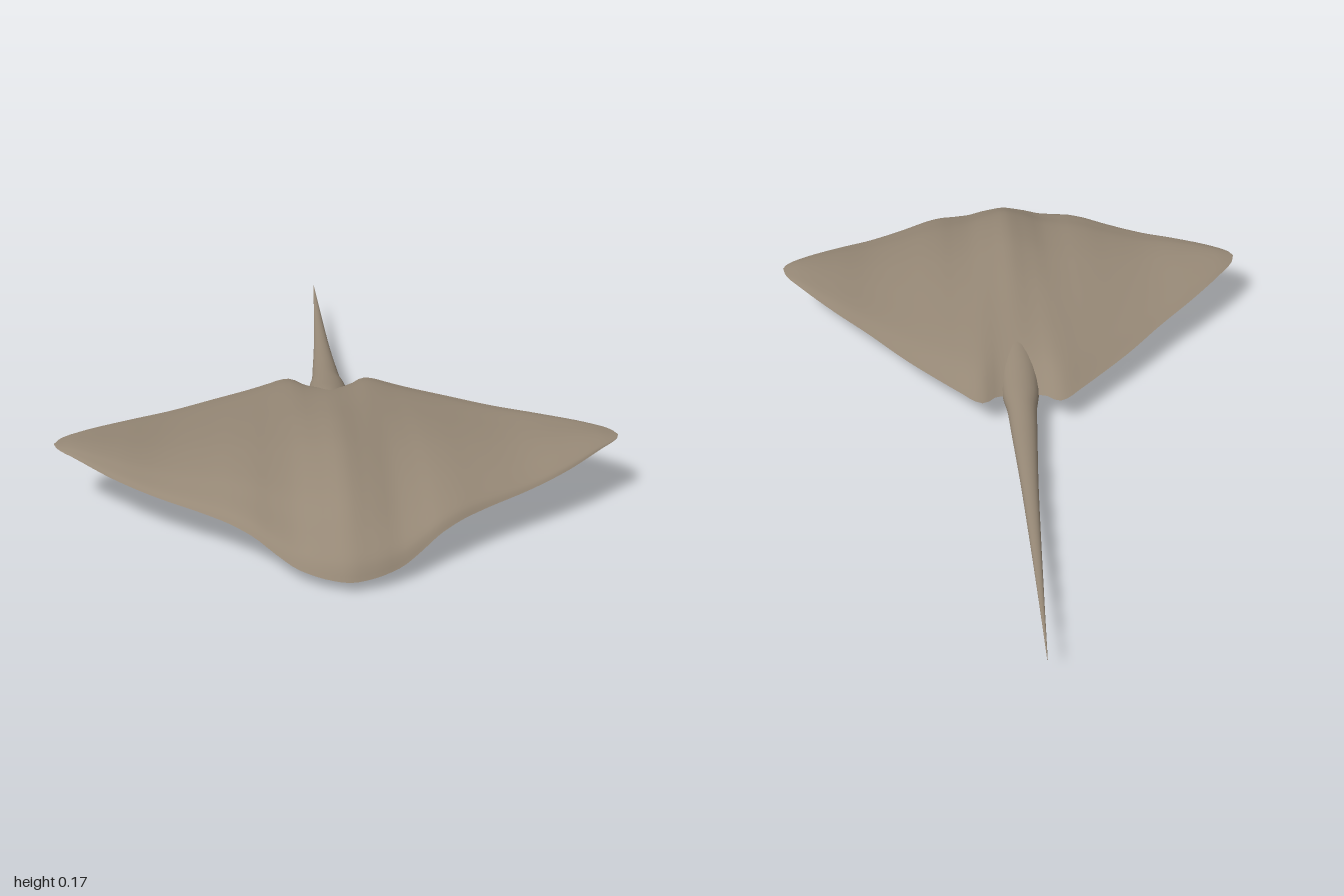
import * as THREE from 'three';
import { mergeVertices } from 'three/addons/utils/BufferGeometryUtils.js';

// Smooth monotone curve through [position, value] pairs
function curve(points) {
  const secant = i => (points[i + 1][1] - points[i][1]) / (points[i + 1][0] - points[i][0]);
  const last = points.length - 1;
  const slope = points.map((_, i) => {
    if (i === 0) return secant(0);
    if (i === last) return secant(last - 1);
    const a = secant(i - 1), b = secant(i);
    return a * b <= 0 ? 0 : (2 * a * b) / (a + b);
  });
  return p => {
    let i = 0;
    while (i < last - 1 && p > points[i + 1][0]) i++;
    const h = points[i + 1][0] - points[i][0];
    const s = THREE.MathUtils.clamp((p - points[i][0]) / h, 0, 1);
    const s2 = s * s, s3 = s2 * s;
    return points[i][1] * (2 * s3 - 3 * s2 + 1) + points[i + 1][1] * (3 * s2 - 2 * s3)
      + h * (slope[i] * (s3 - 2 * s2 + s) + slope[i + 1] * (s3 - s2));
  };
}
// Same, but symmetrical about x = 0
function mirrored(points) {
  const f = curve([[-points[1][0], points[1][1]], ...points]);
  return x => f(Math.abs(x));
}

// Smooth grid surface; its outside is du x dv
function surface(fn, nu, nv) {
  const pos = [], idx = [];
  for (let i = 0; i <= nu; i++)
    for (let j = 0; j <= nv; j++) pos.push(...fn(i / nu, j / nv));
  for (let i = 0; i < nu; i++)
    for (let j = 0; j < nv; j++) {
      const a = i * (nv + 1) + j, b = a + nv + 1;
      idx.push(a, b, b + 1, a, b + 1, a + 1);
    }
  let g = new THREE.BufferGeometry();
  g.setAttribute('position', new THREE.Float32BufferAttribute(pos, 3));
  g.setIndex(idx);
  g = mergeVertices(g, 1e-5);
  g.computeVertexNormals();
  return g;
}

// Disc outline: front and rear edge against x
const span = 0.65;
const frontZ = mirrored([[0, 1], [0.05, 0.988], [0.1, 0.962], [0.2, 0.88], [0.3, 0.8], [0.4, 0.73],
  [0.5, 0.66], [0.6, 0.575], [0.64, 0.535], [0.65, 0.51]]);
const backZ = mirrored([[0, -0.045], [0.06, -0.052], [0.08, -0.075], [0.1, -0.088], [0.12, -0.08],
  [0.15, -0.05], [0.2, 0], [0.3, 0.1], [0.4, 0.21], [0.5, 0.31], [0.6, 0.42], [0.64, 0.475], [0.65, 0.51]]);
// Height of the rim, and thickness of the back above it
const frontY = mirrored([[0, 0.026], [0.1, 0.036], [0.15, 0.055], [0.2, 0.078], [0.25, 0.089],
  [0.3, 0.093], [0.4, 0.1], [0.5, 0.115], [0.6, 0.135], [0.65, 0.142]]);
const backY = mirrored([[0, 0.065], [0.1, 0.078], [0.2, 0.083], [0.3, 0.092], [0.4, 0.105],
  [0.5, 0.12], [0.6, 0.136], [0.65, 0.142]]);
const backHeight = mirrored([[0, 0.128], [0.05, 0.115], [0.1, 0.099], [0.2, 0.068], [0.3, 0.047],
  [0.4, 0.033], [0.5, 0.026], [0.6, 0.012], [0.65, 0]]);
// Shares of back height and belly depth from front edge to rear edge
const backShape = curve([[0, 0], [0.02, 0.24], [0.05, 0.4], [0.095, 0.56], [0.19, 0.84], [0.3, 0.97],
  [0.38, 1], [0.5, 0.94], [0.67, 0.75], [0.86, 0.45], [1, 0]]);
const bellyDepth = curve([[0, 0], [0.04, 0.018], [0.124, 0.027], [0.5, 0.027], [0.9, 0.033], [1, 0.03]]);

function discPoint(x, v, upper) {
  const t = 0.5 - 0.5 * Math.cos(Math.PI * v);
  const z = THREE.MathUtils.lerp(frontZ(x), backZ(x), t);
  const rim = THREE.MathUtils.lerp(frontY(x), backY(x), t);
  if (upper) return [x, rim + backHeight(x) * backShape(t), z];
  const width = THREE.MathUtils.lerp(0.14, 0.045, t);
  return [x, rim - bellyDepth(t) * Math.exp(-((x / width) ** 2)), z];
}
const spread = u => span * Math.sin(Math.PI * (u - 0.5));

// Tail sections against z: half width, top, bottom
const tailWidth = curve([[-1, 0.0005], [-0.8, 0.007], [-0.6, 0.014], [-0.4, 0.022], [-0.2, 0.033],
  [-0.1, 0.039], [-0.05, 0.047], [0.05, 0.052], [0.25, 0.03]]);
const tailTop = curve([[-1, 0.075], [-0.8, 0.078], [-0.6, 0.08], [-0.4, 0.082], [-0.3, 0.084],
  [-0.2, 0.088], [-0.1, 0.097], [0, 0.107], [0.1, 0.12], [0.25, 0.132]]);
const tailBottom = curve([[-1, 0.074], [-0.8, 0.069], [-0.6, 0.058], [-0.4, 0.047], [-0.2, 0.038],
  [0, 0.03], [0.1, 0.03], [0.25, 0.05]]);

function tailPoint(u, v) {
  const z = 0.25 - 1.25 * u, a = (v % 1) * Math.PI * 2;
  const top = tailTop(z), bottom = tailBottom(z);
  return [tailWidth(z) * Math.cos(a), (top + bottom) / 2 + (top - bottom) / 2 * Math.sin(a), z];
}

export function createModel() {
  const skin = new THREE.MeshStandardMaterial({ color: 0x968876 });
  skin.name = 'taupe skin';
  const group = new THREE.Group();
  group.name = 'ray';
  const add = (name, geometry) => {
    const mesh = new THREE.Mesh(geometry, skin);
    mesh.name = name;
    group.add(mesh);
  };
  // Upper and lower sheets meet in a sharp rim
  add('upperDisc', surface((u, v) => discPoint(spread(u), v, true), 120, 40));
  add('lowerDisc', surface((u, v) => discPoint(-spread(u), v, false), 120, 40));
  add('tail', surface(tailPoint, 50, 24));
  return group;
}
